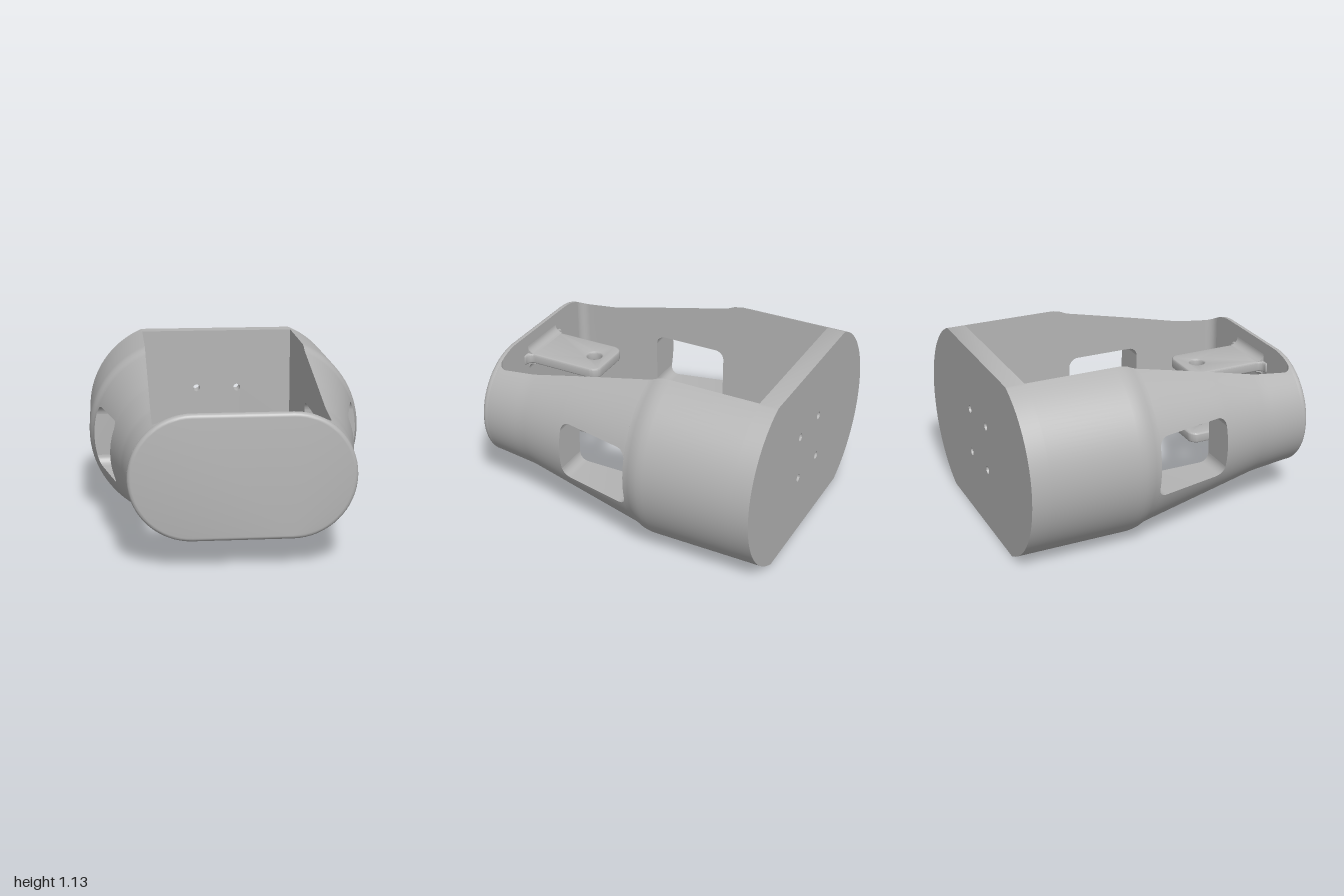
import * as THREE from 'three';
import { toCreasedNormals } from 'three/addons/utils/BufferGeometryUtils.js';

const CY = 0.566;            // height of the long axis
const CX = 0.298;            // centre of the rounded ends
const R_BACK = 0.612, R_FRONT = 0.387;
const IN = 0.53;             // half width of the opening
const BACK = -0.88, CAP = 0.96;
const FILLET = 0.06;

// outer radius of the housing along z
const PROFILE = [[-1, R_BACK], [-0.3, R_BACK], [-0.26, 0.611], [-0.22, 0.604], [-0.19, 0.592],
  [-0.16, 0.581], [0.66, 0.418], [0.7, 0.412], [0.74, 0.408], [CAP, R_FRONT], [1, R_FRONT]];

function radiusAt(z) {
  for (let i = 1; i < PROFILE.length; i++) {
    const [z0, r0] = PROFILE[i - 1], [z1, r1] = PROFILE[i];
    if (z <= z1) return r0 + (r1 - r0) * (z - z0) / (z1 - z0);
  }
  return R_FRONT;
}

// inner wall, curving in to meet the front cap
function innerAt(z) {
  const d = Math.max(0, z - (CAP - FILLET));
  return IN - FILLET + Math.sqrt(Math.max(0, FILLET * FILLET - d * d));
}

// closed solid through convex counterclockwise rings of equal length
function loft(rings) {
  const n = rings[0].length, pos = rings.flat(2), idx = [];
  const last = (rings.length - 1) * n;
  for (let k = 0; k < rings.length - 1; k++) {
    for (let i = 0; i < n; i++) {
      const a = k * n + i, b = k * n + (i + 1) % n;
      idx.push(a, b, b + n, a, b + n, a + n);
    }
  }
  for (let i = 1; i < n - 1; i++) {
    idx.push(0, i + 1, i, last, last + i, last + i + 1);
  }
  const g = new THREE.BufferGeometry();
  g.setAttribute('position', new THREE.Float32BufferAttribute(pos, 3));
  g.setIndex(idx);
  return toCreasedNormals(g, 0.5);
}

// wall slice at z; w is the half height of the window, part is 0 (full), 1 (above) or -1 (below)
function wallRing(z, part = 0, w = 0) {
  const r = radiusAt(z), xin = innerAt(z);
  const max = Math.acos((xin - CX) / r), edge = Math.asin(w / r);
  const a = part === 1 ? edge : -max;
  const b = part === -1 ? -edge : max;
  const steps = part ? 20 : 48, ring = [];
  for (let i = 0; i <= steps; i++) {
    const t = a + (b - a) * i / steps;
    ring.push([CX + r * Math.cos(t), r * Math.sin(t), z]);
  }
  if (part === 1) ring.push([xin, w, z]);
  if (part === -1) ring.push([xin, -w, z]);
  return ring;
}

function stadiumRing(z, inset) {
  const r = R_FRONT - inset, ring = [];
  for (const side of [0, 1]) {
    for (let i = 0; i <= 32; i++) {
      const t = -Math.PI / 2 + Math.PI * (side + i / 32);
      ring.push([(side ? -CX : CX) + r * Math.cos(t), r * Math.sin(t), z]);
    }
  }
  return ring;
}

function circleHole(x, y, r) {
  const p = new THREE.Path();
  p.absarc(x, y, r, 0, Math.PI * 2, true);
  return p;
}

export function createModel() {
  const grey = new THREE.MeshStandardMaterial({ color: 0xb4b4b4 });
  grey.name = 'grey';
  const model = new THREE.Group();
  model.name = 'housing';
  const body = new THREE.Group();
  body.name = 'body';
  body.position.y = CY;
  model.add(body);

  const add = (parent, name, geometry) => {
    const m = new THREE.Mesh(geometry, grey);
    m.name = name;
    parent.add(m);
    return m;
  };

  // back plate with four screw holes
  const plate = new THREE.Shape();
  const t = Math.acos((IN - CX) / R_BACK);
  plate.absarc(CX, 0, R_BACK, -t, t, false);
  plate.absarc(-CX, 0, R_BACK, Math.PI - t, Math.PI + t, false);
  for (const x of [-0.145, 0.145]) {
    for (const y of [-0.15, 0.15]) plate.holes.push(circleHole(x, y, 0.025));
  }
  const plateGeo = new THREE.ExtrudeGeometry(plate, { depth: 0.12, bevelEnabled: false, curveSegments: 48 });
  add(body, 'backPlate', toCreasedNormals(plateGeo, 0.5)).position.z = -1;

  // front cap with rounded rim
  const capRings = [stadiumRing(CAP, 0)];
  for (let i = 0; i <= 6; i++) {
    const a = i / 6 * Math.PI / 2;
    capRings.push(stadiumRing(0.975 + 0.025 * Math.sin(a), 0.025 * (1 - Math.cos(a))));
  }
  add(body, 'frontCap', loft(capRings));

  // side walls, split around the rounded window
  const W0 = -0.15, W1 = 0.36, WH = 0.2, WR = 0.06;
  const rearZ = [BACK, ...PROFILE.map(p => p[0]).filter(z => z > BACK && z < W0), W0];
  const frontZ = [W1, 0.66, 0.7, 0.74];
  for (let i = 0; i <= 6; i++) frontZ.push(CAP - FILLET + FILLET * Math.sin(i / 6 * Math.PI / 2));
  const windowZ = [];
  for (let i = 0; i <= 6; i++) {
    const a = i / 6 * Math.PI / 2;
    windowZ.push([W0 + WR * (1 - Math.cos(a)), WH - WR + WR * Math.sin(a)]);
  }
  for (let i = 6; i >= 0; i--) {
    const a = i / 6 * Math.PI / 2;
    windowZ.push([W1 - WR * (1 - Math.cos(a)), WH - WR + WR * Math.sin(a)]);
  }
  const wallParts = {
    wallRear: loft(rearZ.map(z => wallRing(z))),
    wallFront: loft(frontZ.map(z => wallRing(z))),
    wallAboveWindow: loft(windowZ.map(([z, w]) => wallRing(z, 1, w))),
    wallBelowWindow: loft(windowZ.map(([z, w]) => wallRing(z, -1, w))),
  };
  for (const side of ['left', 'right']) {
    const wall = new THREE.Group();
    wall.name = side + 'Wall';
    if (side === 'right') wall.rotation.z = Math.PI;
    for (const name in wallParts) add(wall, name, wallParts[name]);
    body.add(wall);
  }

  // mounting tabs behind the cap, outline in x and z
  const TW = 0.175, TZ = 0.43, TOP = 0.255, TH = 0.07, F = 0.05, BV = 0.012;
  const tab = new THREE.Shape();
  const tw = TW - BV, tz = TZ + BV;
  tab.moveTo(-tw - F, CAP + 0.01);
  tab.lineTo(-tw - F, CAP);
  tab.absarc(-tw - F, CAP - F, F, Math.PI / 2, 0, true);
  tab.absarc(-tw + F, tz + F, F, Math.PI, Math.PI * 1.5, false);
  tab.absarc(tw - F, tz + F, F, Math.PI * 1.5, Math.PI * 2, false);
  tab.absarc(tw + F, CAP - F, F, Math.PI, Math.PI / 2, true);
  tab.lineTo(tw + F, CAP + 0.01);
  tab.holes.push(circleHole(0, 0.55, 0.05 + BV));
  const tabGeo = new THREE.ExtrudeGeometry(tab, {
    depth: TH - 2 * BV, bevelThickness: BV, bevelSize: BV, bevelSegments: 3, curveSegments: 12,
  });
  tabGeo.rotateX(Math.PI / 2);
  const tabSmooth = toCreasedNormals(tabGeo, 0.6);

  // concave fillet between tab and cap
  const filletGeo = (dir) => {
    const s = new THREE.Shape();
    s.moveTo(CAP, 0);
    s.lineTo(CAP - F, 0);
    for (let i = 1; i <= 8; i++) {
      const a = i / 8 * Math.PI / 2;
      s.lineTo(CAP - F + F * Math.sin(a), dir * F * (1 - Math.cos(a)));
    }
    const g = new THREE.ExtrudeGeometry(s, { depth: 2 * TW, bevelEnabled: false });
    g.rotateY(-Math.PI / 2);
    return toCreasedNormals(g, 0.5);
  };
  const outerFillet = filletGeo(1), innerFillet = filletGeo(-1);
  for (const side of ['upper', 'lower']) {
    const g = new THREE.Group();
    g.name = side + 'Tab';
    if (side === 'lower') g.rotation.z = Math.PI;
    add(g, 'tabPlate', tabSmooth).position.y = TOP - BV;
    add(g, 'tabOuterFillet', outerFillet).position.set(TW, TOP, 0);
    add(g, 'tabInnerFillet', innerFillet).position.set(TW, TOP - TH, 0);
    body.add(g);
  }
  return model;
}
